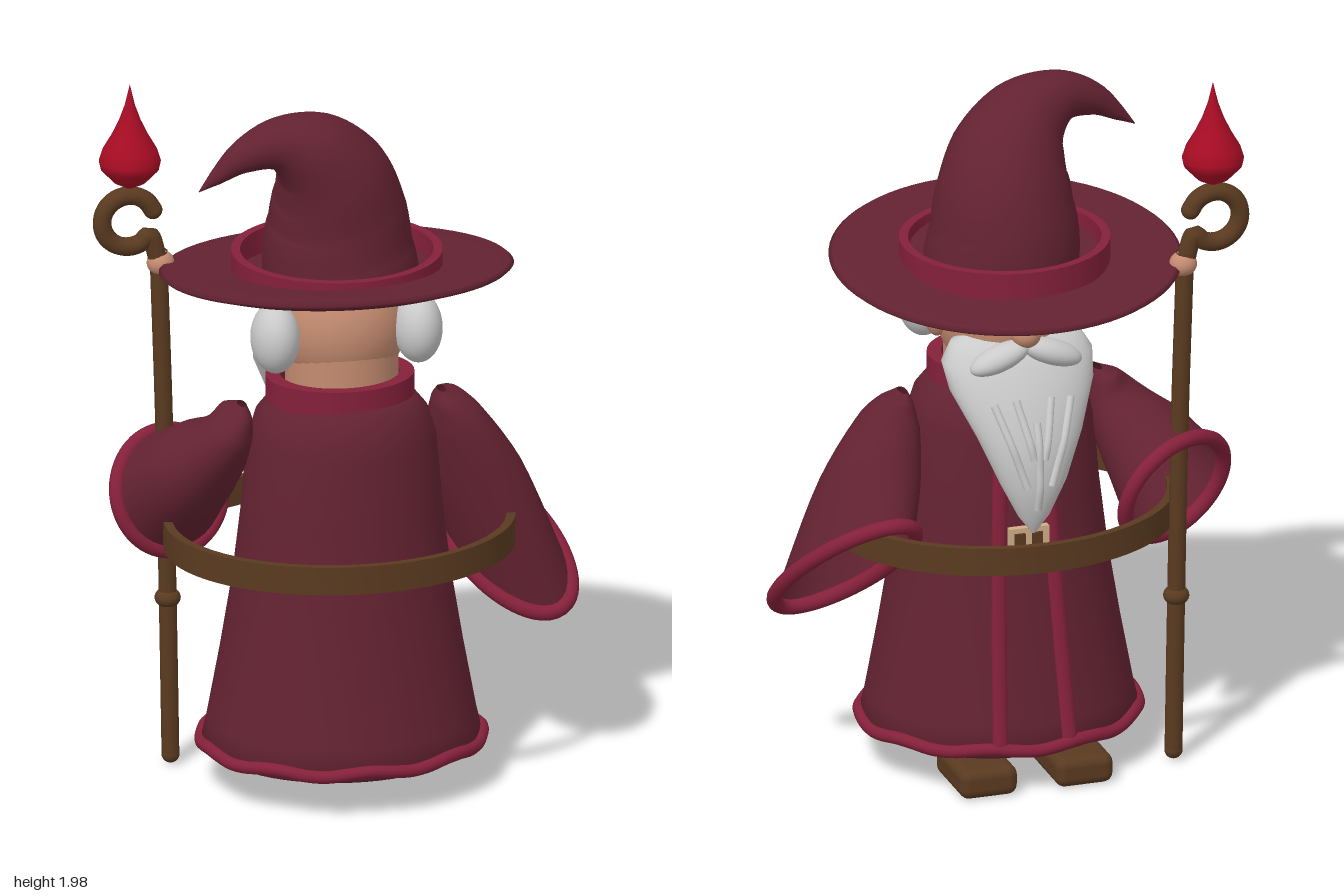
import * as THREE from 'three';
import { toCreasedNormals } from 'three/addons/utils/BufferGeometryUtils.js';
import { RoundedBoxGeometry } from 'three/addons/geometries/RoundedBoxGeometry.js';

const V = (x, y, z) => new THREE.Vector3(x, y, z);

function paint(name, color) {
  const m = new THREE.MeshStandardMaterial({ color, side: THREE.DoubleSide });
  m.name = name;
  return m;
}

// Smooth skin over closed rings of equal point count.
function loft(rings) {
  const n = rings[0].length, pos = [], idx = [];
  rings.forEach((r) => r.forEach((p) => pos.push(p.x, p.y, p.z)));
  for (let i = 0; i < rings.length - 1; i++) {
    for (let j = 0; j < n; j++) {
      const a = i * n + j, b = i * n + ((j + 1) % n);
      idx.push(a, a + n, b, b, a + n, b + n);
    }
  }
  const g = new THREE.BufferGeometry();
  g.setAttribute('position', new THREE.Float32BufferAttribute(pos, 3));
  g.setIndex(idx);
  g.computeVertexNormals();
  return g;
}

// Ring of points around c spanned by the half axes u and v.
function ellipse(c, u, v, n = 40) {
  return Array.from({ length: n }, (_, j) => {
    const a = (j / n) * Math.PI * 2;
    return c.clone().addScaledVector(u, Math.cos(a)).addScaledVector(v, Math.sin(a));
  });
}

// Linear lookup in rows whose first entry is the height (ascending).
function at(rows, y) {
  let i = 0;
  while (i < rows.length - 2 && y > rows[i + 1][0]) i++;
  const t = (y - rows[i][0]) / (rows[i + 1][0] - rows[i][0]);
  return rows[i].map((a, k) => THREE.MathUtils.lerp(a, rows[i + 1][k], t));
}

const lathe = (pts, n = 56) => new THREE.LatheGeometry(pts.map(([r, y]) => new THREE.Vector2(r, y)), n);
const band = (ro, ri, y0, y1) => toCreasedNormals(lathe([[ri, y0], [ro, y0], [ro, y1], [ri, y1], [ri, y0]], 72), 0.6);
const tube = (pts, r, n = 40, closed = false) =>
  new THREE.TubeGeometry(new THREE.CatmullRomCurve3(pts, closed), n, r, 12, closed);

export function createModel() {
  const group = new THREE.Group();
  const robe = paint('robe maroon', 0x632231), trim = paint('trim crimson', 0x84203a);
  const brown = paint('leather brown', 0x5a3a20), skin = paint('skin', 0xc48b70);
  const white = paint('hair white', 0xcacaca), gem = paint('gem red', 0xa80c24);
  const beige = paint('buckle beige', 0xcfae88);

  const add = (name, geo, mat, x = 0, y = 0, z = 0) => {
    const m = new THREE.Mesh(geo, mat);
    m.name = name;
    m.position.set(x, y, z);
    group.add(m);
    return m;
  };
  const ball = (name, mat, x, y, z, rx, ry, rz) => {
    const m = add(name, new THREE.SphereGeometry(1, 32, 20), mat, x, y, z);
    m.scale.set(rx, ry, rz);
    return m;
  };

  // Robe: bell with a shallow domed underside, flattened in depth
  const CZ = 0.042, FLAT = 0.87;
  const robeRows = [[0.125, 0.39], [0.2, 0.372], [0.4, 0.335], [0.6, 0.302], [0.8, 0.278], [1.0, 0.262], [1.08, 0.238], [1.14, 0.19]];
  add('robe', lathe([[0, 0.05], [0.2, 0.065], [0.34, 0.1], ...robeRows.map(([y, r]) => [r, y]), [0, 1.15]]), robe, -0.005, 0, CZ).scale.z = FLAT;
  const hem = Array.from({ length: 40 }, (_, i) => {
    const a = (i / 40) * Math.PI * 2;
    return V(0.387 * Math.cos(a), 0.137 + 0.006 * Math.sin(a * 9), 0.387 * FLAT * Math.sin(a));
  });
  add('hem', tube(hem, 0.018, 120, true), trim, -0.005, 0, CZ);
  add('collar', band(0.205, 0.165, 1.12, 1.19), trim, -0.01, 0, CZ).scale.z = 0.84;

  // Two trim strips down the front of the robe
  for (const s of [-1, 1]) {
    const rings = [];
    for (let i = 0; i <= 16; i++) {
      const y = 0.14 + i * 0.06, r = at(robeRows, y)[1], x = s * (0.1 - i * 0.0025);
      const z = CZ - FLAT * Math.sqrt(r * r - x * x) - 0.003;
      rings.push(ellipse(V(x, y, z), V(0.022, 0, 0), V(0, 0, 0.012), 10));
    }
    add('frontTrim', loft(rings), trim);
  }

  // Sleeves: rings of centre, outward axis and forward axis, open at the cuff
  const shoulder = (s) => [
    [V(s * 0.28, 1.11, 0.02), V(s * 0.012, 0, 0), V(0, 0, -0.03)],
    [V(s * 0.295, 1.085, 0.02), V(s * 0.042, 0.012, 0), V(0, 0.01, -0.07)],
    [V(s * 0.315, 1.03, 0.02), V(s * 0.068, 0.03, 0), V(-s * 0.02, 0.02, -0.09)],
  ];
  const arms = {
    left: [...shoulder(1),
      [V(0.38, 0.87, 0), V(0.115, 0.03, 0), V(-0.05, 0.06, -0.12)],
      [V(0.465, 0.635, -0.035), V(0.145, 0, 0), V(-0.09, 0.165, -0.155)]],
    right: [...shoulder(-1),
      [V(-0.385, 0.92, -0.05), V(-0.125, 0.035, 0.03), V(0.03, 0.1, -0.08)],
      [V(-0.44, 0.805, -0.17), V(-0.16, 0.02, 0.06), V(0, 0.155, -0.06)]],
  };
  for (const [side, rows] of Object.entries(arms)) {
    const curves = [0, 1, 2].map((k) => new THREE.CatmullRomCurve3(rows.map((r) => r[k])));
    const rings = [];
    for (let i = 0; i <= 20; i++) rings.push(ellipse(...curves.map((c) => c.getPoint(i / 20))));
    add(side + 'Sleeve', loft(rings), robe);
    add(side + 'Cuff', tube(rings[20], 0.022, 64, true), trim);
  }

  // Wide belt hoop and buckle
  add('belt', band(0.485, 0.46, 0.69, 0.77), brown, -0.01, 0, 0.038).scale.z = 0.865;
  add('buckleStrap', new THREE.BoxGeometry(0.1, 0.05, 0.02), brown, 0, 0.72, -0.215);
  for (const x of [-0.05, 0, 0.05]) add('buckleBar', new THREE.BoxGeometry(0.014, 0.09, 0.02), beige, x, 0.72, -0.226);
  for (const y of [0.68, 0.76]) add('buckleBar', new THREE.BoxGeometry(0.114, 0.014, 0.02), beige, 0, y, -0.226);

  // Head with mirrored hair, ears, brows, moustache and shoes
  ball('head', skin, 0, 1.33, 0, 0.185, 0.2, 0.185);
  add('neck', new THREE.CylinderGeometry(0.155, 0.155, 0.2, 32), skin, 0, 1.2, 0.02);
  ball('nose', skin, 0, 1.33, -0.205, 0.042, 0.042, 0.045);
  for (const s of [-1, 1]) {
    ball('hairPuff', white, s * 0.2 - 0.008, 1.33, 0.115, 0.067, 0.1, 0.086);
    ball('ear', skin, s * 0.185, 1.335, 0.01, 0.035, 0.07, 0.042);
    ball('eyebrow', white, s * 0.075, 1.4, -0.165, 0.065, 0.026, 0.035).rotation.z = -s * 0.25;
    ball('moustache', white, s * 0.075, 1.265, -0.205, 0.09, 0.036, 0.045).rotation.z = -s * 0.35;
    add('shoe', new RoundedBoxGeometry(0.165, 0.085, 0.24, 3, 0.028), brown, s * 0.138 - 0.005, 0.05, -0.18);
  }

  // Beard: height, centre depth, half width, half depth
  const beardRows = [[0.765, -0.27, 0.004, 0.004], [0.82, -0.272, 0.045, 0.03], [0.92, -0.266, 0.095, 0.062],
    [1.05, -0.235, 0.15, 0.085], [1.17, -0.165, 0.205, 0.105], [1.24, -0.125, 0.215, 0.105], [1.29, -0.11, 0.185, 0.08], [1.315, -0.1, 0.12, 0.02]];
  add('beard', loft(beardRows.map(([y, z, w, d]) => ellipse(V(0, y, z), V(w, 0, 0), V(0, 0, d)))), white);
  for (const [x0, x1, y0, y1] of [[-0.11, -0.035, 1.15, 0.92], [0, 0, 1.1, 0.85], [0.11, 0.035, 1.15, 0.92], [-0.05, -0.015, 1.16, 1.0], [0.05, 0.015, 1.16, 1.0]]) {
    const pts = [0, 0.25, 0.5, 0.75, 1].map((t) => {
      const x = x0 + (x1 - x0) * t, y = y0 + (y1 - y0) * t, [, z, w, d] = at(beardRows, y);
      return V(x, y, z - d * Math.sqrt(1 - (x / w) ** 2));
    });
    add('beardStrand', tube(pts, 0.011, 16), white);
  }

  // Hat: tilted brim, level band and a bent cone
  const brim = add('hatBrim', lathe([[0, -0.05], [0.25, -0.048], [0.4, -0.028], [0.475, -0.006], [0.487, 0.004], [0.475, 0.014], [0.4, 0.01], [0, 0.004]], 72), robe, -0.01, 1.475, 0);
  brim.rotation.x = -0.11;
  brim.scale.z = 0.945;
  add('hatBand', band(0.29, 0.265, 1.46, 1.535), trim, -0.01, 0, 0.006).scale.z = 0.975;
  const hatRows = [[0, 1.46, 0.01, 0.215], [-0.008, 1.54, 0.008, 0.208], [-0.012, 1.65, 0.02, 0.19], [-0.04, 1.76, 0.05, 0.163],
    [-0.105, 1.845, 0.08, 0.122], [-0.2, 1.885, 0.1, 0.075], [-0.3, 1.86, 0.112, 0.046], [-0.375, 1.807, 0.115, 0.021], [-0.422, 1.77, 0.115, 0.001]];
  const path = new THREE.CatmullRomCurve3(hatRows.map(([x, y, z]) => V(x, y, z)));
  const size = new THREE.CatmullRomCurve3(hatRows.map((r, i) => V(r[3], i * 0.1, 0)));
  const hatRings = [];
  for (let i = 0; i <= 48; i++) {
    const t = i / 48, r = size.getPoint(t).x, dir = path.getTangent(t);
    const u = V(0, 0, 1).cross(dir).normalize(), v = dir.clone().cross(u);
    hatRings.push(ellipse(path.getPoint(t), u.multiplyScalar(r), v.multiplyScalar(r)));
  }
  add('hatCone', loft(hatRings), robe);

  // Staff: shaft, knobs, curled head, hand and drop-shaped gem
  const SZ = -0.18;
  add('staffShaft', tube([V(-0.434, 0.03, SZ), V(-0.442, 0.5, SZ), V(-0.452, 1, SZ), V(-0.468, 1.5, SZ)], 0.025), brown);
  ball('staffTip', brown, -0.434, 0.035, SZ, 0.025, 0.025, 0.025);
  ball('staffKnob', brown, -0.442, 0.49, SZ, 0.036, 0.028, 0.036);
  const curl = [V(-0.468, 1.47, SZ)];
  for (let i = 0; i <= 12; i++) {
    const a = THREE.MathUtils.degToRad(-38 - i * 25);
    curl.push(V(-0.552 + 0.074 * Math.cos(a), 1.592 + 0.074 * Math.sin(a), SZ));
  }
  add('staffCurl', tube(curl, 0.026, 60), brown);
  ball('staffCurlEnd', brown, curl[13].x, curl[13].y, SZ, 0.026, 0.026, 0.026);
  ball('hand', skin, -0.462, 1.465, SZ, 0.038, 0.035, 0.038);
  add('gem', lathe([[0, 1.685], [0.045, 1.708], [0.08, 1.745], [0.085, 1.768], [0.075, 1.8], [0.05, 1.843], [0.03, 1.885], [0.014, 1.93], [0, 1.99]], 32), gem, -0.548, 0, SZ);

  return group;
}
